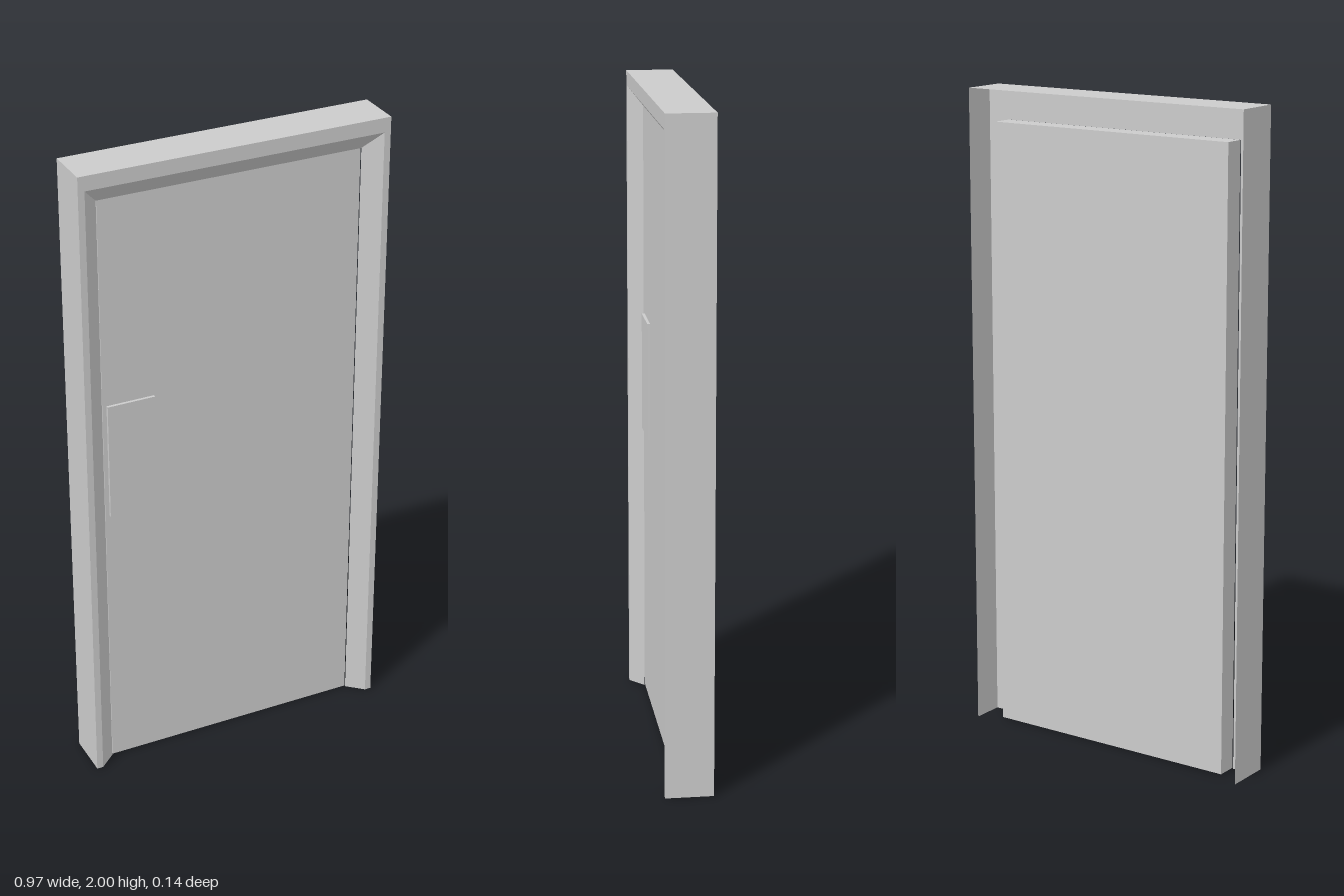
import * as THREE from 'three';

const W = 0.485, H = 2, D = 0.072; // frame half width, height, half depth
const STOP_Z = 0.028;              // plane where the leaf meets the frame

// Folded sheet section: side inset, top inset, z
const PROFILE = [
  [0, 0, -D],
  [0, 0, D],
  [0.02, 0.045, D],
  [0.07, 0.1, STOP_Z],
  [0, 0, STOP_Z],
];

// Sweeps the section up one jamb, across the head and down the other, mitred at the corners
function frameGeometry() {
  const station = ([ix, iy, z], j) =>
    new THREE.Vector3((j < 2 ? -1 : 1) * (W - ix), j === 0 || j === 3 ? 0 : H - iy, z);
  const points = [];
  for (let i = 0; i < PROFILE.length - 1; i++) {
    for (let j = 0; j < 3; j++) {
      const a = station(PROFILE[i], j), b = station(PROFILE[i], j + 1);
      const c = station(PROFILE[i + 1], j + 1), d = station(PROFILE[i + 1], j);
      points.push(a, d, c, a, c, b);
    }
  }
  const geometry = new THREE.BufferGeometry().setFromPoints(points);
  geometry.computeVertexNormals();
  return geometry;
}

// Box given by its lower and upper corners
function slab(name, min, max, material) {
  const size = max.map((v, i) => v - min[i]);
  const mesh = new THREE.Mesh(new THREE.BoxGeometry(...size), material);
  mesh.position.set(...max.map((v, i) => (v + min[i]) / 2));
  mesh.name = name;
  return mesh;
}

export function createModel() {
  const group = new THREE.Group();
  group.name = 'door';
  const solid = new THREE.MeshStandardMaterial({ color: 0xcccccc, flatShading: true });
  const sheet = new THREE.MeshStandardMaterial({ color: 0xcccccc, flatShading: true, side: THREE.DoubleSide });

  // Hollow frame, open at the back and bottom
  const frame = new THREE.Mesh(frameGeometry(), sheet);
  frame.name = 'doorFrame';
  group.add(frame);

  // Door leaf and the push plate on its front
  group.add(slab('doorLeaf', [-0.413, 0.003, -0.036], [0.413, 1.9, STOP_Z - 0.001], solid));
  group.add(slab('pushPlate', [-0.4, 0.88, STOP_Z - 0.002], [-0.25, 1.25, STOP_Z + 0.008], solid));
  return group;
}
